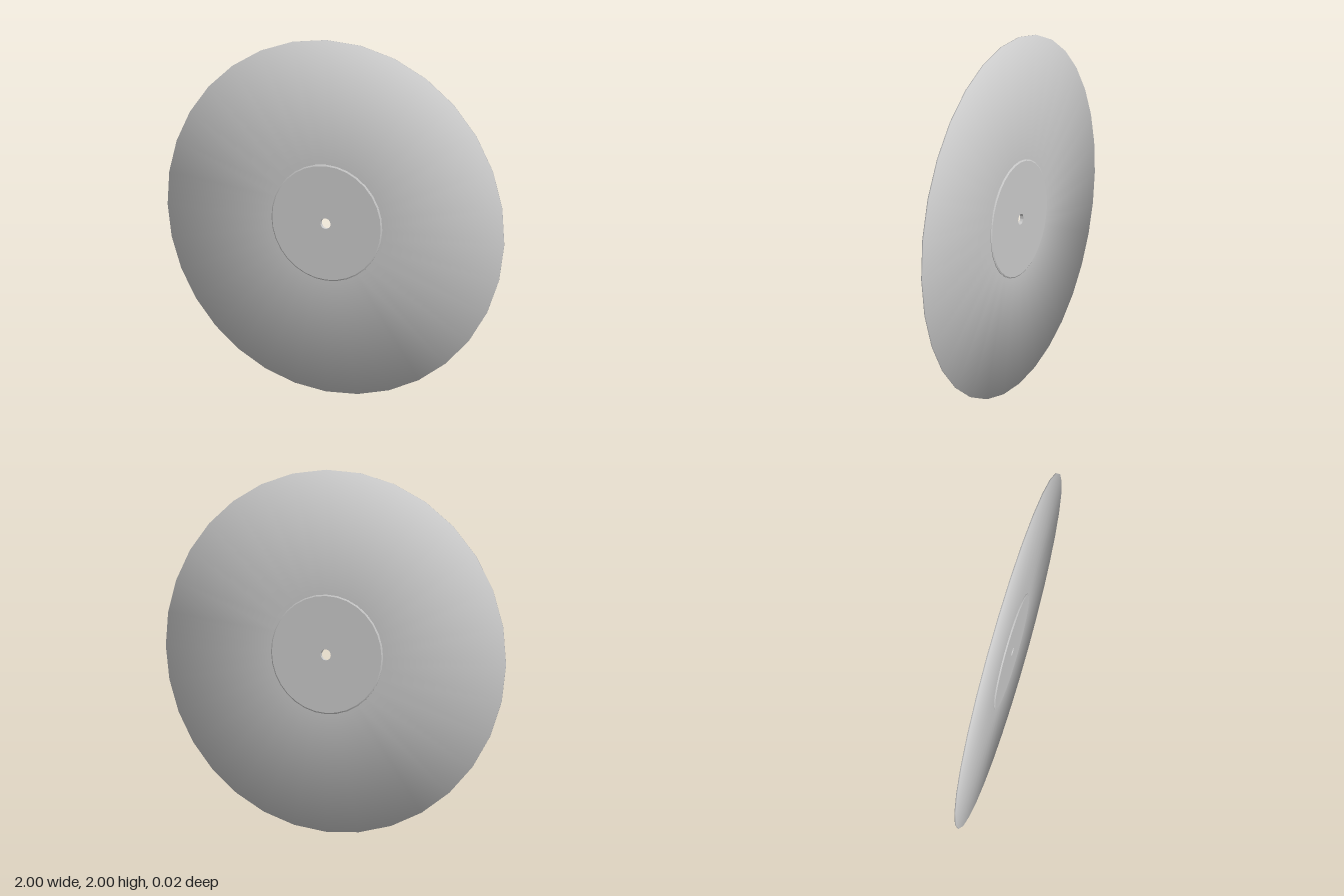
import * as THREE from 'three';
import { toCreasedNormals } from 'three/addons/utils/BufferGeometryUtils.js';

const SIDES = 32;
const material = new THREE.MeshStandardMaterial({ color: 0xcccccc });

// Revolve a [radius, z] profile around the z axis, centred at y = 1
function revolve(points) {
  const profile = points.map(([r, z]) => new THREE.Vector2(r, z));
  return new THREE.LatheGeometry(profile, SIDES).rotateX(Math.PI / 2);
}

function addPart(group, name, geometry) {
  const mesh = new THREE.Mesh(geometry, material);
  mesh.name = name;
  mesh.position.y = 1;
  group.add(mesh);
}

export function createModel() {
  const group = new THREE.Group();
  group.name = 'disc';

  // Thin plate, with normals that roll over softly at the rim
  const t = 0.003;
  const plate = revolve([[0.3, -t], [1, -t], [1, t], [0.3, t]]);
  const pos = plate.attributes.position;
  const normal = plate.attributes.normal;
  const n = new THREE.Vector3();
  for (let i = 0; i < pos.count; i++) {
    n.set(pos.getX(i), pos.getY(i), 0);
    const rim = n.length() > 0.9;
    n.multiplyScalar(rim ? 1 : 0).setZ(Math.sign(pos.getZ(i))).normalize();
    normal.setXYZ(i, n.x, n.y, n.z);
  }
  addPart(group, 'plate', plate);

  // Thicker centre hub with bevelled edge and a through hole
  const h = 0.01;
  const hole = 0.03;
  const hub = revolve([
    [hole, -h], [0.323, -h], [0.33, -0.006], [0.33, 0.006], [0.323, h], [hole, h], [hole, -h],
  ]);
  addPart(group, 'hub', toCreasedNormals(hub, 0.4));

  return group;
}
